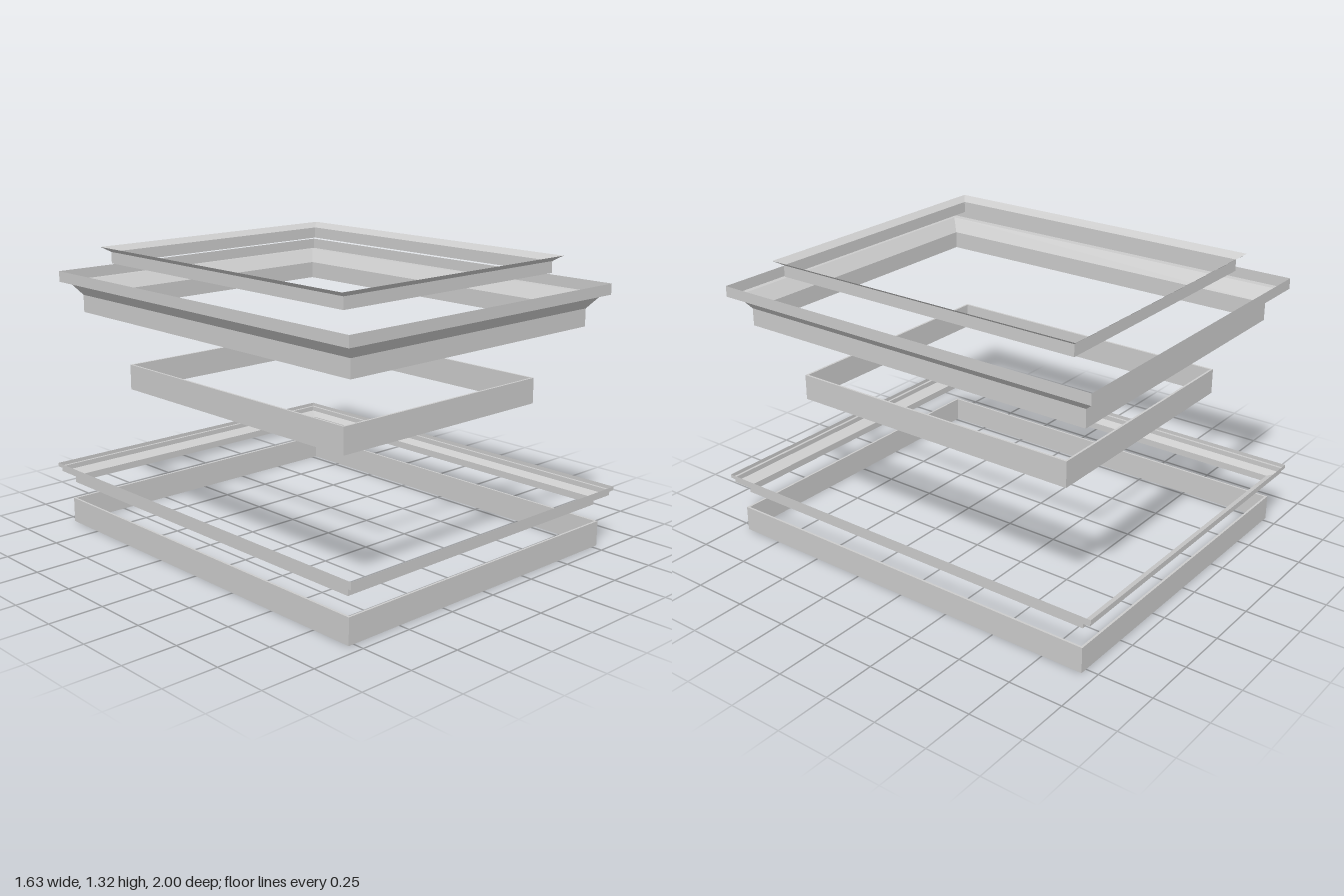
import * as THREE from 'three';

const material = new THREE.MeshStandardMaterial({ color: 0xcccccc, flatShading: true, side: THREE.DoubleSide });

// Sweeps a moulding profile round a mitred rectangle.
// Each profile point is [half width, half depth, height], running up the outside.
function mitredFrame(name, profile, cx = 0, cz = 0, closed = false) {
  const corners = [[1, 1], [1, -1], [-1, -1], [-1, 1]];
  const at = ([w, d, y], [sx, sz]) => [cx + sx * w, y, cz + sz * d];
  const positions = [];
  const steps = closed ? profile.length : profile.length - 1;
  for (let i = 0; i < steps; i++) {
    const low = profile[i], high = profile[(i + 1) % profile.length];
    for (let k = 0; k < 4; k++) {
      const a = at(low, corners[k]), b = at(low, corners[(k + 1) % 4]);
      const c = at(high, corners[(k + 1) % 4]), d = at(high, corners[k]);
      positions.push(...a, ...b, ...c, ...a, ...c, ...d);
    }
  }
  const geometry = new THREE.BufferGeometry();
  geometry.setAttribute('position', new THREE.Float32BufferAttribute(positions, 3));
  geometry.computeVertexNormals();
  const mesh = new THREE.Mesh(geometry, material);
  mesh.name = name;
  return mesh;
}

// Plain upright band with a thin wall
function band(name, w, d, y0, y1, cx, cz, t = 0.01) {
  return mitredFrame(name, [[w, d, y0], [w, d, y1], [w - t, d - t, y1], [w - t, d - t, y0]], cx, cz, true);
}

export function createModel() {
  const group = new THREE.Group();
  group.name = 'stackedMouldings';

  // Skirting band on the ground
  group.add(band('baseBand', 0.779, 0.945, 0, 0.117, 0.003, 0.003));

  // Slim stepped moulding
  group.add(mitredFrame('lowerMoulding', [
    [0.766, 0.932, 0.196], [0.766, 0.932, 0.228], [0.803, 0.988, 0.246],
    [0.803, 0.988, 0.269], [0.815, 1, 0.269], [0.815, 1, 0.286],
  ]));

  // Middle band
  group.add(band('middleBand', 0.58, 0.713, 0.66, 0.777, -0.004, 0.002));

  // Large cornice with a sloping underside and a projecting lip
  group.add(mitredFrame('upperCornice', [
    [0.707, 0.882, 1.016], [0.707, 0.882, 1.096], [0.752, 0.93, 1.156],
    [0.785, 0.955, 1.156], [0.785, 0.955, 1.205],
  ], -0.003, 0.001));

  // Flared trim at the top
  group.add(mitredFrame('topTrim', [
    [0.623, 0.761, 1.245], [0.623, 0.761, 1.297], [0.66, 0.792, 1.32],
  ], -0.003, -0.005));

  return group;
}
